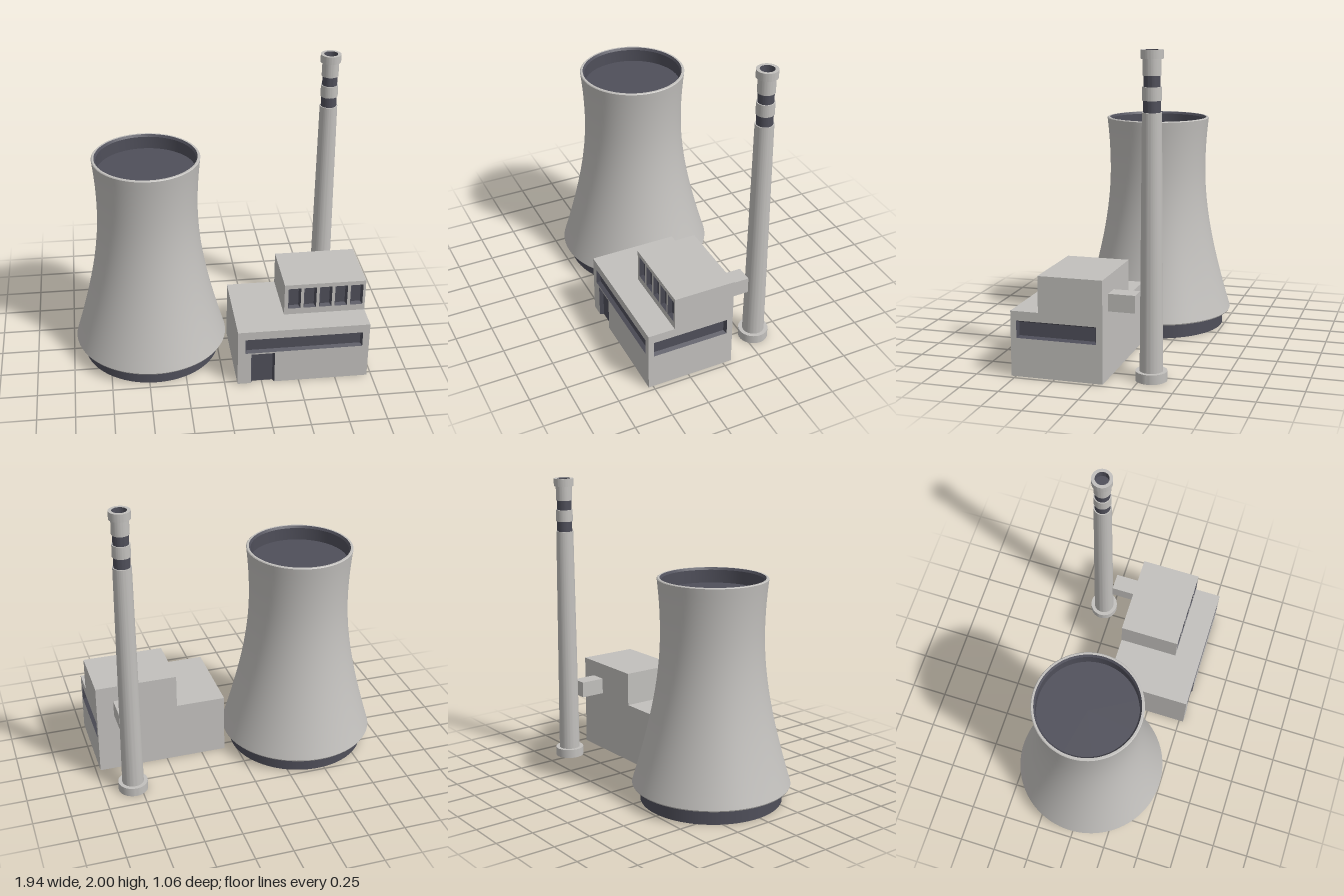
import * as THREE from 'three';
import { toCreasedNormals } from 'three/addons/utils/BufferGeometryUtils.js';

const concrete = new THREE.MeshStandardMaterial({ color: 0xc2c0bd });
concrete.name = 'concrete';
const dark = new THREE.MeshStandardMaterial({ color: 0x4f4f5a });
dark.name = 'darkSlate';

function add(parent, name, geometry, material, x = 0, y = 0, z = 0) {
  const mesh = new THREE.Mesh(geometry, material);
  mesh.name = name;
  mesh.position.set(x, y, z);
  parent.add(mesh);
  return mesh;
}

// Turned part with crisp corners; points are [radius, height]
function turned(points, segments = 64) {
  const geo = new THREE.LatheGeometry(points.map(p => new THREE.Vector2(...p)), segments);
  return toCreasedNormals(geo, 0.5);
}

// Box given by its limits
function block(parent, name, [x0, x1], [y0, y1], [z0, z1]) {
  return add(parent, name, new THREE.BoxGeometry(x1 - x0, y1 - y0, z1 - z0), concrete,
    (x0 + x1) / 2, (y0 + y1) / 2, (z0 + z1) / 2);
}

// Open, tapered niche facing +z with its mouth at z = 0
function niche({ x0, x1, y0, y1, open }, depth, taper) {
  const w = x1 - x0, h = y1 - y0;
  const geo = new THREE.BoxGeometry(w, h, depth);
  const pos = geo.attributes.position;
  for (let i = 0; i < pos.count; i++) {
    if (pos.getZ(i) > 0) continue;
    pos.setX(i, pos.getX(i) * (1 - 2 * taper / w));
    if (!(open && pos.getY(i) < 0)) pos.setY(i, pos.getY(i) - Math.sign(pos.getY(i)) * taper);
  }
  // drop the mouth (and the sill of a door), then turn the faces inward
  const index = Array.from(geo.index.array)
    .filter((_, i) => !(i >= 24 && i < 30) && !(open && i >= 18 && i < 24));
  geo.setIndex(index.reverse());
  geo.clearGroups();
  geo.computeVertexNormals();
  return geo.translate((x0 + x1) / 2, (y0 + y1) / 2, -depth / 2);
}

// Wall slab with niches; its outer face lies at local z = 0
const WALL = 0.03;
function wall(parent, name, [x0, x1], [y0, y1], openings) {
  const group = new THREE.Group();
  group.name = name;
  const shape = new THREE.Shape();
  shape.moveTo(x0, y0);
  const door = openings.find(o => o.open);
  if (door) {
    shape.lineTo(door.x0, y0).lineTo(door.x0, door.y1);
    shape.lineTo(door.x1, door.y1).lineTo(door.x1, y0);
  }
  shape.lineTo(x1, y0).lineTo(x1, y1).lineTo(x0, y1).closePath();
  for (const o of openings) {
    if (!o.open) {
      const hole = new THREE.Path();
      hole.moveTo(o.x0, o.y0).lineTo(o.x0, o.y1).lineTo(o.x1, o.y1).lineTo(o.x1, o.y0).closePath();
      shape.holes.push(hole);
    }
    add(group, o.open ? 'door' : 'window', niche(o, 0.025, 0.012), dark);
  }
  const slab = new THREE.ExtrudeGeometry(shape, { depth: WALL, bevelEnabled: false });
  add(group, 'wallSlab', slab, concrete, 0, 0, -WALL);
  parent.add(group);
  return group;
}

function coolingTower() {
  const g = new THREE.Group();
  g.name = 'coolingTower';
  add(g, 'towerBase', new THREE.CylinderGeometry(0.465, 0.465, 0.115, 96), dark, 0, 0.0575, 0);
  // Hyperbolic shell with its underside lip and rim
  const profile = [[0.455, 0.11], [0.515, 0.105]];
  const steps = 28;
  for (let i = 0; i <= steps; i++) {
    const y = 0.113 + (1.465 - 0.113) * i / steps;
    const k = y < 1.12 ? 0.156 : 0.12;
    profile.push([Math.sqrt(0.111 + k * (y - 1.12) ** 2), y]);
  }
  profile.push([0.349, 1.47], [0.336, 1.47]);
  add(g, 'towerShell', turned(profile, 96), concrete);
  add(g, 'towerThroat', turned([[0.336, 1.47], [0.325, 1.455], [0.325, 1.37], [0, 1.37]], 96), dark);
  g.position.set(-0.455, 0, -0.016);
  return g;
}

function chimney() {
  const g = new THREE.Group();
  g.name = 'chimney';
  add(g, 'chimneyFoot', turned([[0, 0], [0.098, 0], [0.098, 0.06], [0.07, 0.06]]), concrete);
  // Tapered shaft and rings: [name, bottom, top, bottom radius, top radius, material]
  const rings = [
    ['shaft', 0.06, 1.635, 0.072, 0.059, concrete],
    ['lowerBand', 1.635, 1.705, 0.052, 0.052, dark],
    ['middleRing', 1.705, 1.785, 0.058, 0.057, concrete],
    ['upperBand', 1.785, 1.85, 0.05, 0.05, dark],
    ['upperRing', 1.85, 1.95, 0.056, 0.055, concrete],
  ];
  for (const [name, y0, y1, r0, r1, material] of rings) {
    add(g, name, turned([[0, y0], [r0, y0], [r1, y1], [0, y1]]), material);
  }
  add(g, 'cap', turned([[0.04, 1.948], [0.068, 1.948], [0.068, 2], [0.046, 2]]), concrete);
  add(g, 'flue', turned([[0.046, 2], [0.044, 1.955], [0, 1.955]]), dark);
  g.position.set(0.8, 0, -0.317);
  return g;
}

function plantBuilding() {
  const g = new THREE.Group();
  g.name = 'plantBuilding';
  const left = 0.97, front = 0.53, back = -0.06;

  // Main hall
  block(g, 'hallCore', [0.085, left - WALL], [0, 0.415], [back, front - WALL]);
  wall(g, 'hallFront', [0.085, left], [0, 0.415], [
    { x0: 0.135, x1: 0.925, y0: 0.245, y1: 0.355 },
    { x0: 0.175, x1: 0.335, y0: 0, y1: 0.235, open: true },
  ]).position.z = front;
  const side = wall(g, 'hallSide', [-(front - WALL), -back], [0, 0.415], [
    { x0: -0.493, x1: 0.02, y0: 0.245, y1: 0.355 },
  ]);
  side.rotation.y = Math.PI / 2;
  side.position.x = left;

  // Upper storey with a row of five windows
  const upperFront = 0.35;
  block(g, 'upperCore', [0.42, left], [0.415, 0.645], [back, upperFront - WALL]);
  const windows = [];
  for (let i = 0; i < 5; i++) {
    const x0 = 0.446 + i * 0.1055;
    windows.push({ x0, x1: x0 + 0.085, y0: 0.46, y1: 0.615 });
  }
  wall(g, 'upperFront', [0.42, left], [0.415, 0.645], windows).position.z = upperFront;

  // Duct towards the chimney
  block(g, 'duct', [0.742, 0.855], [0.425, 0.535], [-0.23, back]);
  return g;
}

export function createModel() {
  const model = new THREE.Group();
  model.name = 'powerPlant';
  model.add(coolingTower(), chimney(), plantBuilding());
  return model;
}
